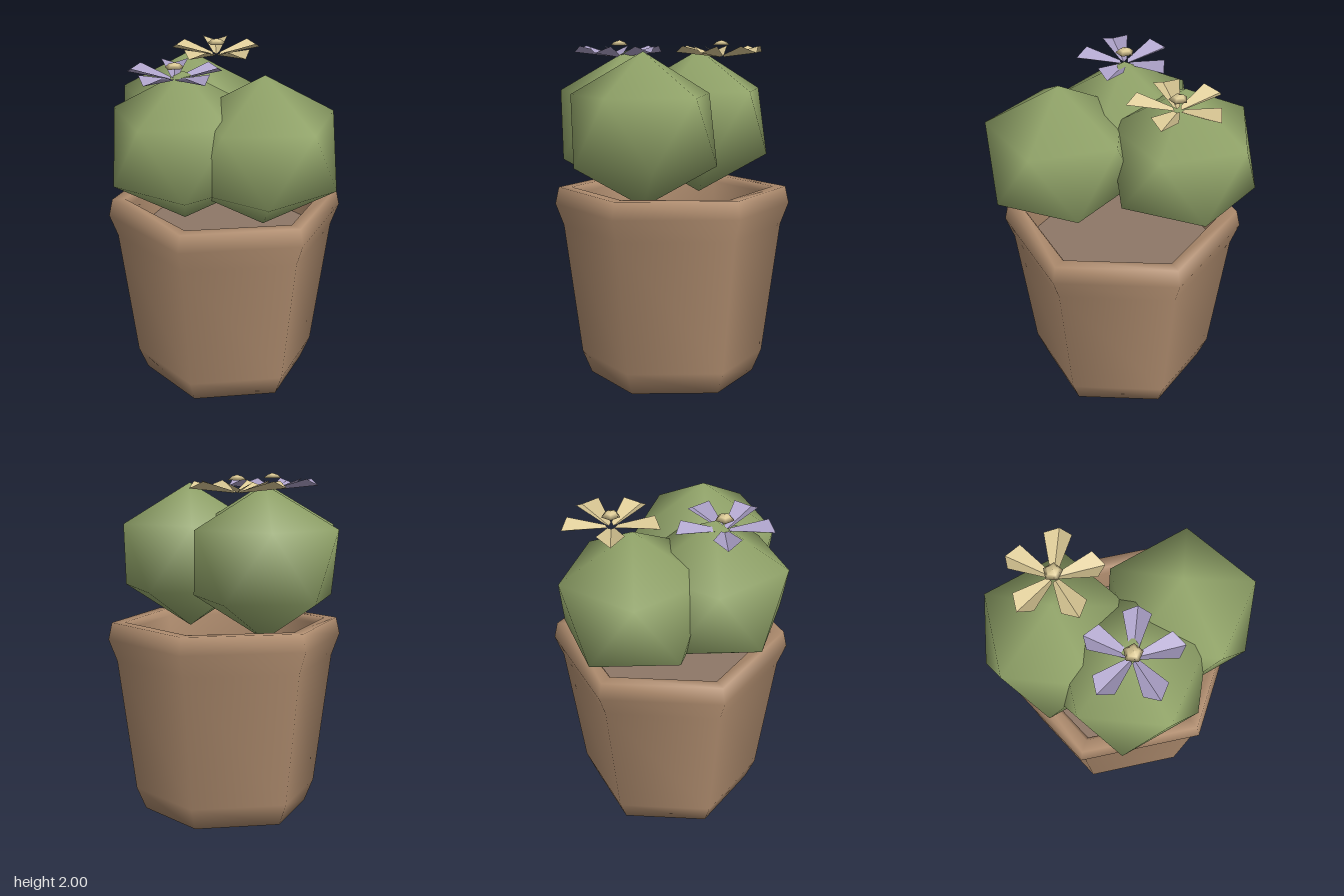
import * as THREE from 'three';

const material = (name, color, side = THREE.FrontSide) => {
  const m = new THREE.MeshStandardMaterial({ color, side });
  m.name = name;
  return m;
};

const addMesh = (parent, name, geometry, mat, x = 0, y = 0, z = 0) => {
  const mesh = new THREE.Mesh(geometry, mat);
  mesh.name = name;
  mesh.position.set(x, y, z);
  parent.add(mesh);
  return mesh;
};

const profile = (pairs) => pairs.map(([r, y]) => new THREE.Vector2(r, y));

// Twenty-sided ball standing on a point, with smooth normals
function cactusGeometry(ring, halfHeight) {
  const s = 1 / Math.sqrt(5);
  const radius = ring / (2 * s);
  const pos = [0, halfHeight, 0];
  for (let i = 0; i < 10; i++) {
    const a = (i * Math.PI) / 5;
    pos.push(ring * Math.cos(a), halfHeight * s * (i % 2 ? -1 : 1), ring * Math.sin(a));
  }
  pos.push(0, -halfHeight, 0);
  const index = [];
  for (let i = 0; i < 10; i += 2) {
    const at = (k) => 1 + ((i + k) % 10);
    index.push(0, at(2), at(0));
    index.push(at(0), at(2), at(1));
    index.push(at(1), at(2), at(3));
    index.push(11, at(1), at(3));
  }
  const g = new THREE.BufferGeometry();
  g.setAttribute('position', new THREE.Float32BufferAttribute(pos, 3));
  const normals = [];
  for (let i = 0; i < pos.length; i += 3) {
    const n = new THREE.Vector3(pos[i] / radius, pos[i + 1] / halfHeight, pos[i + 2] / radius).normalize();
    normals.push(n.x, n.y, n.z);
  }
  g.setAttribute('normal', new THREE.Float32BufferAttribute(normals, 3));
  g.setIndex(index);
  return g;
}

// Petal folded into a shallow valley along its middle, pointing to +x
function petalGeometry() {
  const root = [0.02, 0, 0];
  const tip = [0.28, 0.028, 0];
  const half = (s) => [[0.03, 0.012, 0.02 * s], [0.225, 0.066, 0.076 * s]];
  const pos = [];
  for (const s of [1, -1]) {
    const [inner, shoulder] = half(s);
    const tris = s > 0
      ? [root, inner, shoulder, root, shoulder, tip]
      : [root, shoulder, inner, root, tip, shoulder];
    pos.push(...tris.flat());
  }
  const g = new THREE.BufferGeometry();
  g.setAttribute('position', new THREE.Float32BufferAttribute(pos, 3));
  g.computeVertexNormals();
  return g;
}

export function createModel() {
  const model = new THREE.Group();
  model.name = 'pottedCactus';
  const clay = material('clay', 0xb08d6f);
  const earth = material('earth', 0x8e7767);
  const green = material('cactusGreen', 0x94a76b);
  const cream = material('cream', 0xdcca96, THREE.DoubleSide);
  const lilac = material('lilac', 0xaea3ca, THREE.DoubleSide);

  // Six-sided pot with a flared, hollow rim
  const potZ = -0.05;
  const pot = new THREE.LatheGeometry(profile([
    [0, 0], [0.49, 0], [0.545, 0.13], [0.648, 0.91], [0.697, 1.04],
    [0.675, 1.14], [0.6, 1.14], [0.572, 1.1], [0.555, 0.9],
  ]), 6, Math.PI / 2);
  addMesh(model, 'pot', pot, clay, 0, 0, potZ);

  const soil = new THREE.CircleGeometry(0.56, 6).rotateX(-Math.PI / 2);
  addMesh(model, 'soil', soil, earth, 0, 0.93, potZ);

  // Three overlapping cactus balls
  const ball = cactusGeometry(0.42, 0.438);
  [['leftFacingBall', -0.35, -0.05], ['rightFacingBall', 0.35, -0.05], ['frontBall', 0, 0.25]]
    .forEach(([name, x, z]) => addMesh(model, name, ball, green, x, 1.505, z));

  // Five-petalled flowers, each with a small domed centre
  const petal = petalGeometry();
  const dome = new THREE.LatheGeometry(
    profile([[0, 0], [0.055, 0], [0.032, 0.02], [0, 0.03]]), 5, Math.PI / 2);
  [['creamFlower', cream, -0.31, -0.22], ['lilacFlower', lilac, 0, 0.31]].forEach(([name, mat, x, z]) => {
    const flower = new THREE.Group();
    flower.name = name;
    flower.position.set(x, 1.9, z);
    for (let i = 0; i < 5; i++) {
      addMesh(flower, 'petal', petal, mat).rotation.y = (i * Math.PI * 2) / 5;
    }
    addMesh(flower, 'flowerCentre', dome, cream, 0, 0.07, 0);
    model.add(flower);
  });

  return model;
}
